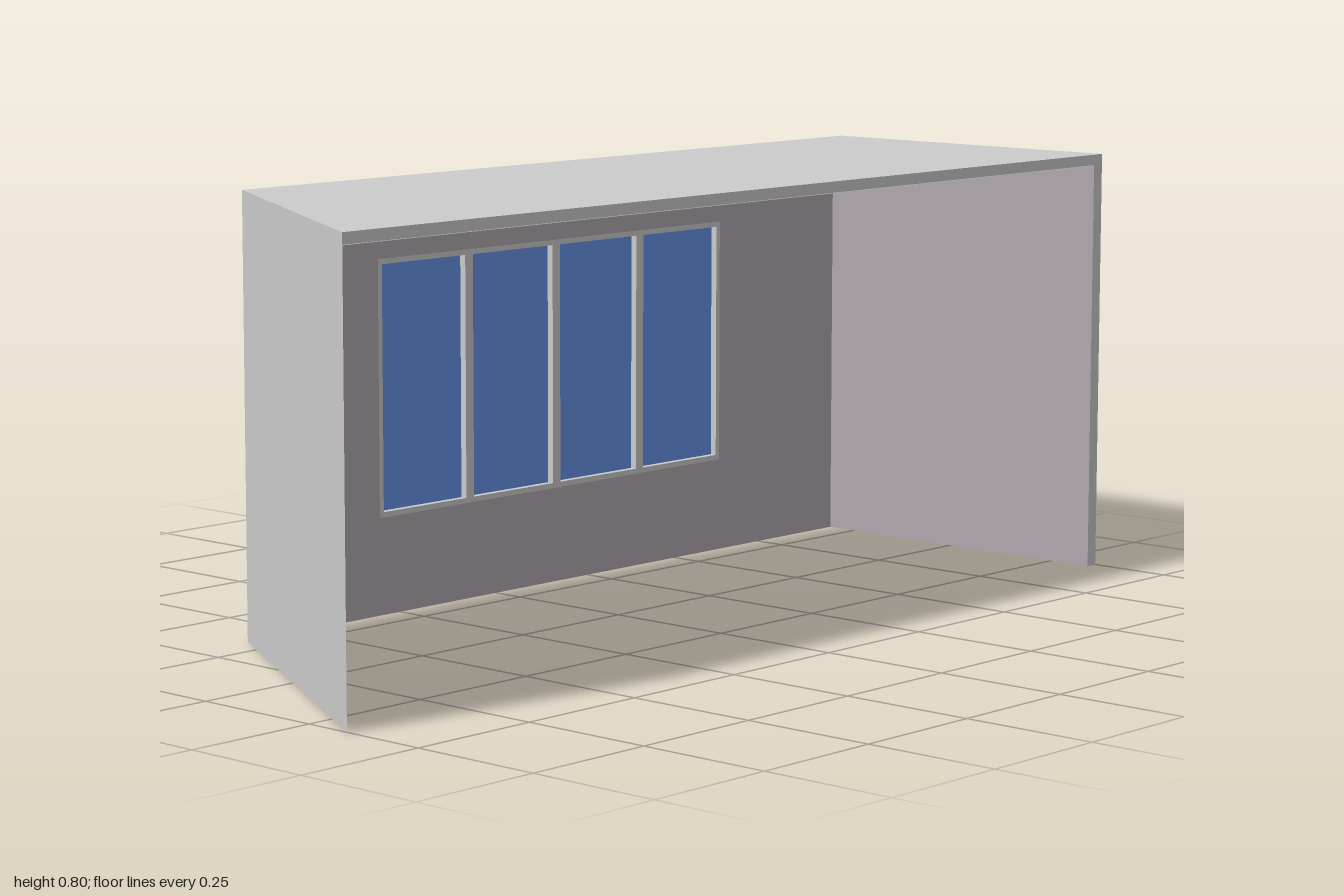
import * as THREE from 'three';

const X0 = -0.312, X1 = 0.338;          // closed long side, open long side
const BACK = -1, INNER = -0.975;        // back wall faces
const Z0 = 0.625, Z1 = 1;               // slanted front corners
const H = 0.8, CEIL = 0.78;

const grey = new THREE.MeshStandardMaterial({ color: 0xcccccc, side: THREE.DoubleSide });
const lining = new THREE.MeshStandardMaterial({ color: 0xb0a9b0, side: THREE.DoubleSide });
const glass = new THREE.MeshStandardMaterial({ color: 0x6693e6, side: THREE.DoubleSide });

function add(parent, name, geometry, material) {
  const mesh = new THREE.Mesh(geometry, material);
  mesh.name = name;
  parent.add(mesh);
  return mesh;
}

// Roof outline; s = -1 for upward extrusion, +1 for a downward-facing sheet
function outline(back, s) {
  return new THREE.Shape([[X0, back], [X1, back], [X1, Z1], [X0, Z0]]
    .map(([x, z]) => new THREE.Vector2(x, s * z)));
}

function rect(Type, a, b, c, d) {
  return new Type([[a, c], [b, c], [b, d], [a, d]].map(p => new THREE.Vector2(...p)));
}

export function createModel() {
  const model = new THREE.Group();
  model.name = 'shelter';

  // Roof slab with a tinted ceiling
  const roof = new THREE.ExtrudeGeometry(outline(BACK, -1), { depth: H - CEIL, bevelEnabled: false });
  add(model, 'roof', roof.rotateX(-Math.PI / 2).translate(0, CEIL, 0), grey);
  add(model, 'ceiling', new THREE.ShapeGeometry(outline(INNER, 1)).rotateX(Math.PI / 2)
    .translate(0, CEIL - 0.001, 0), lining);

  // Thick back wall, tinted on the inside
  const backWall = new THREE.BoxGeometry(X1 - X0, CEIL, INNER - BACK);
  add(model, 'backWall', backWall, [grey, grey, grey, grey, lining, grey])
    .position.set((X0 + X1) / 2, CEIL / 2, (BACK + INNER) / 2);

  // Thin slanted front wall
  const front = new THREE.PlaneGeometry(Math.hypot(X1 - X0, Z1 - Z0), CEIL);
  front.rotateY(-Math.atan2(Z1 - Z0, X1 - X0));
  add(model, 'frontWall', front, grey).position.set((X0 + X1) / 2, CEIL / 2, (Z0 + Z1) / 2);

  // Long wall with one opening for the window row
  const za = -0.63, zb = 0.3, ya = 0.18, yb = 0.653;
  const wall = rect(THREE.Shape, INNER, Z0, 0, CEIL);
  wall.holes.push(rect(THREE.Path, za, zb, ya, yb));
  add(model, 'sideWall', new THREE.ShapeGeometry(wall).rotateY(-Math.PI / 2).translate(X0, 0, 0), lining);

  // Four framed panes standing proud of the wall
  const count = 4, w = (zb - za) / count, border = 0.01, depth = 0.026;
  for (let i = 0; i < count; i++) {
    const a = za + i * w, b = a + w;
    const win = new THREE.Group();
    win.name = 'window' + (i + 1);
    const shape = rect(THREE.Shape, a, b, ya, yb);
    shape.holes.push(rect(THREE.Path, a + border, b - border, ya + border, yb - border));
    const frame = new THREE.ExtrudeGeometry(shape, { depth, bevelEnabled: false });
    add(win, 'windowFrame', frame.rotateY(-Math.PI / 2).translate(X0, 0, 0), grey);
    const pane = new THREE.PlaneGeometry(w - 2 * border, yb - ya - 2 * border).rotateY(-Math.PI / 2);
    add(win, 'windowPane', pane, glass).position.set(X0 - depth / 2, (ya + yb) / 2, (a + b) / 2);
    model.add(win);
  }
  return model;
}
